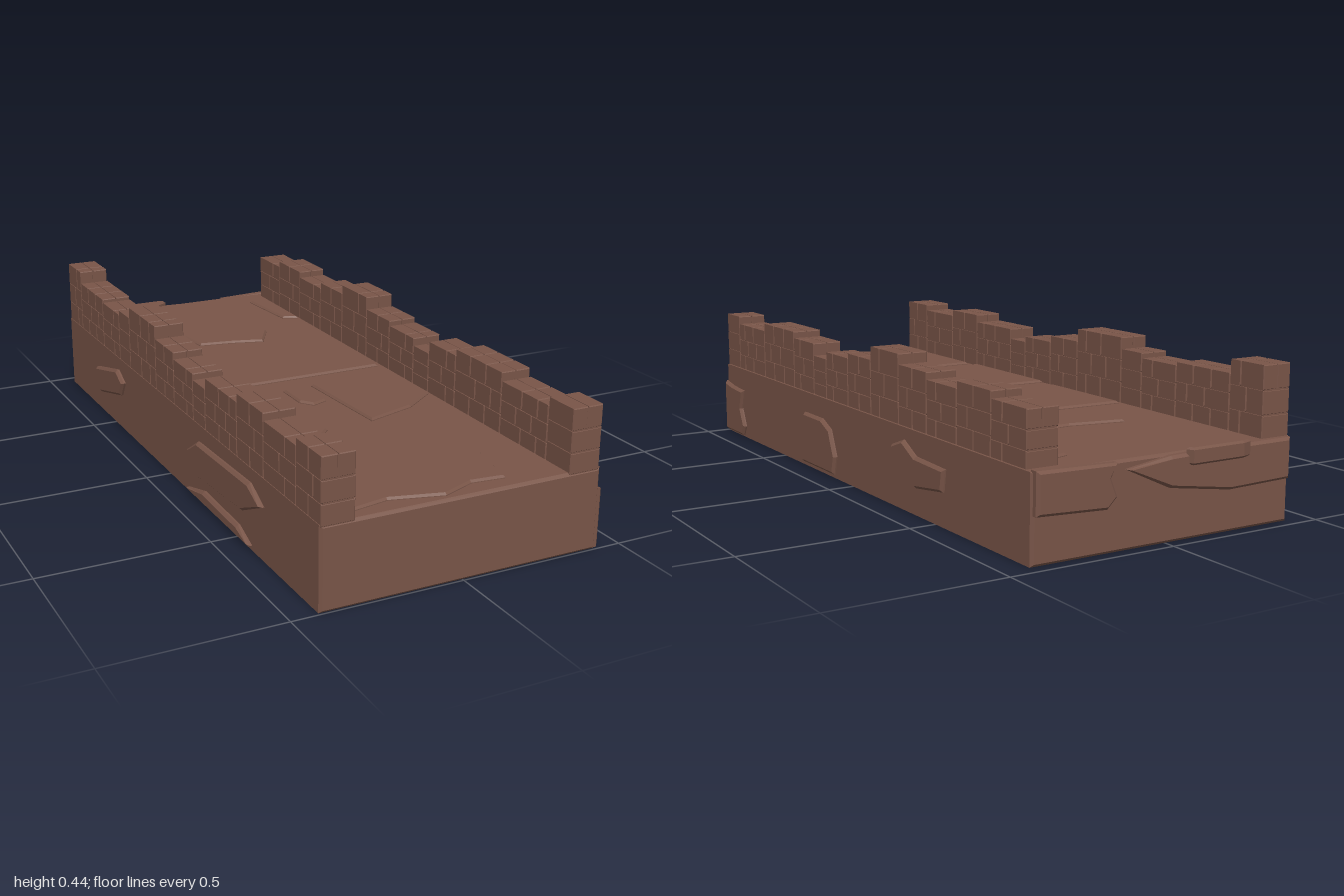
import * as THREE from 'three';

const stone = new THREE.MeshStandardMaterial({ color: 0x795548 });
stone.name = 'brown stone';

// Flat plate with chamfered rims; its outline is kept at full size and its top lies at z = depth
function plate(points, depth, bevel, sink = 0) {
  const shape = new THREE.Shape(points.map(([x, y]) => new THREE.Vector2(x, y)));
  const g = new THREE.ExtrudeGeometry(shape, {
    depth: depth + sink - 2 * bevel, bevelEnabled: true, bevelSegments: 1,
    bevelThickness: bevel, bevelSize: bevel, bevelOffset: -bevel,
  });
  return g.translate(0, 0, bevel - sink);
}

// Chamfered block from its limits
function block(x0, x1, y0, y1, z0, z1, bevel) {
  return plate([[x0, y0], [x1, y0], [x1, y1], [x0, y1]], z1 - z0, bevel).translate(0, 0, z0);
}

function add(group, name, geometry) {
  const mesh = new THREE.Mesh(geometry, stone);
  mesh.name = name;
  group.add(mesh);
  return mesh;
}

// Parapet steps running front to back: [front z, back z, top y]
const leftSteps = [
  [1, 0.89, 0.42], [0.89, 0.67, 0.395], [0.67, 0.43, 0.42], [0.43, 0.28, 0.4],
  [0.28, 0.19, 0.362], [0.19, 0.04, 0.385], [0.04, -0.11, 0.4], [-0.11, -0.28, 0.44],
  [-0.28, -0.44, 0.41], [-0.44, -0.6, 0.39], [-0.6, -0.77, 0.41], [-0.77, -0.935, 0.39],
];
const rightSteps = [
  [1, 0.86, 0.42], [0.86, 0.67, 0.4], [0.67, 0.5, 0.42], [0.5, 0.28, 0.395],
  [0.28, 0.19, 0.362], [0.19, 0.04, 0.38], [0.04, -0.11, 0.4], [-0.11, -0.34, 0.44],
  [-0.34, -0.44, 0.405], [-0.44, -0.6, 0.39], [-0.6, -0.83, 0.4], [-0.83, -0.965, 0.44],
];

function parapet(name, x0, x1, steps) {
  const wall = new THREE.Group();
  wall.name = name;
  const gap = 0.002, inset = 0.004, mid = (x0 + x1) / 2;
  steps.forEach(([front, back, top], s) => {
    // Solid heart behind the brick joints
    add(wall, 'wallCore', new THREE.BoxGeometry(x1 - x0 - 2 * inset, top - inset - 0.22, front - back - 2 * gap)
      .translate(mid, (top - inset + 0.22) / 2, (front + back) / 2));
    // Three courses with staggered joints, the top one two bricks wide
    const courses = 3, h = (top - 0.235) / courses;
    for (let c = 0; c < courses; c++) {
      const y0 = 0.235 + c * h;
      const count = Math.max(1, Math.round((front - back) / 0.085));
      const shift = (c + s) % 2 ? 0.35 : 0;
      const cuts = [back];
      for (let i = 1; i < count; i++) cuts.push(back + (front - back) * (i + shift) / count);
      cuts.push(front);
      for (let i = 0; i < cuts.length - 1; i++) {
        const sides = c === courses - 1 ? [[x0, mid - gap / 2], [mid + gap / 2, x1]] : [[x0, x1]];
        for (const [a, b] of sides) {
          add(wall, 'brick', block(a, b, y0, y0 + h - (c === courses - 1 ? 0 : gap),
            cuts[i] + gap / 2, cuts[i + 1] - gap / 2, 0.0025));
        }
      }
    }
  });
  return wall;
}

export function createModel() {
  const model = new THREE.Group();
  model.name = 'stoneWallSection';

  // Main body
  add(model, 'base', block(-0.42, 0.42, 0, 0.24, -0.97, 1, 0.008));

  // Parapets
  model.add(parapet('leftParapet', 0.318, 0.413, leftSteps));
  model.add(parapet('rightParapet', -0.418, -0.323, rightSteps));

  // Worn paving stones, outlines in x and z
  const paving = [
    [[-0.31, 0.54], [0.2, 0.53], [0.19, 0.75], [0.15, 0.95], [0.05, 0.94], [-0.05, 0.98], [-0.2, 0.94], [-0.31, 0.96]],
    [[-0.32, 0.08], [-0.11, 0.09], [-0.11, 0.44], [-0.17, 0.5], [-0.32, 0.49]],
    [[-0.08, 0.09], [0, 0.1], [0, 0.22], [-0.05, 0.24], [-0.08, 0.2]],
    [[0.02, 0.08], [0.31, 0.09], [0.31, 0.3], [0.2, 0.38], [0.04, 0.43]],
    [[-0.31, -0.35], [-0.02, -0.34], [0.04, -0.28], [0.31, -0.32], [0.3, 0], [-0.31, 0]],
    [[-0.15, -0.59], [0.02, -0.56], [0.15, -0.57], [0.14, -0.5], [0.08, -0.4], [-0.02, -0.43], [-0.13, -0.45]],
    [[0.24, -0.86], [0.31, -0.88], [0.31, -0.6], [0.26, -0.62]],
  ];
  for (const outline of paving) {
    const g = plate(outline.map(([x, z]) => [x, -z]), 0.008, 0.006, 0.02);
    add(model, 'pavingStone', g.rotateX(-Math.PI / 2).translate(0, 0.24, 0));
  }

  // Broken stones on the back lip
  const lip = [[-0.26, -0.99], [-0.23, -1], [-0.06, -1], [-0.05, -0.98], [-0.15, -0.92], [-0.25, -0.94]];
  add(model, 'lipStone', plate(lip.map(([x, z]) => [x, -z]), 0.012, 0.006, 0.035)
    .rotateX(-Math.PI / 2).translate(0, 0.24, 0));

  // Raised stones on the left side, outlines in z and y
  const leftStones = [
    [[0.998, 0.005], [0.85, 0.005], [0.83, 0.04], [0.86, 0.1], [0.84, 0.165], [0.93, 0.17], [0.998, 0.18]],
    [[0.35, 0.012], [0.12, 0.012], [0.105, 0.07], [0.14, 0.15], [0.2, 0.175], [0.33, 0.175], [0.36, 0.09]],
    [[-0.25, 0.13], [-0.4, 0.08], [-0.55, 0.1], [-0.56, 0.165], [-0.4, 0.17], [-0.33, 0.205], [-0.26, 0.18]],
  ];
  for (const outline of leftStones) {
    const g = plate(outline.map(([z, y]) => [-z, y]), 0.012, 0.008, 0.02);
    add(model, 'leftSideStone', g.rotateY(Math.PI / 2).translate(0.42, 0, 0));
  }

  // Raised stones on the right side
  const rightStones = [
    [[-0.72, 0.09], [-0.62, 0.07], [-0.42, 0.12], [-0.39, 0.17], [-0.45, 0.2], [-0.66, 0.15]],
    [[0.16, 0.14], [0.25, 0.08], [0.55, 0.1], [0.68, 0.16], [0.6, 0.2], [0.24, 0.19]],
    [[0.15, 0.015], [0.6, 0.015], [0.52, 0.045], [0.28, 0.05]],
  ];
  for (const outline of rightStones) {
    add(model, 'rightSideStone', plate(outline, 0.014, 0.008, 0.02).rotateY(-Math.PI / 2).translate(-0.42, 0, 0));
  }

  // Raised stones on the back face, outlines in x and y
  const backStones = [
    [[0.415, 0.13], [0.2, 0.12], [0.17, 0.15], [0.19, 0.2], [0.17, 0.238], [0.415, 0.245]],
    [[0.14, 0.215], [0, 0.15], [-0.2, 0.12], [-0.41, 0.125], [-0.41, 0.24], [-0.2, 0.24], [0, 0.235]],
  ];
  for (const outline of backStones) {
    const g = plate(outline.map(([x, y]) => [-x, y]), 0.018, 0.008, 0.02);
    add(model, 'backStone', g.rotateY(Math.PI).translate(0, 0, -0.97));
  }

  return model;
}
